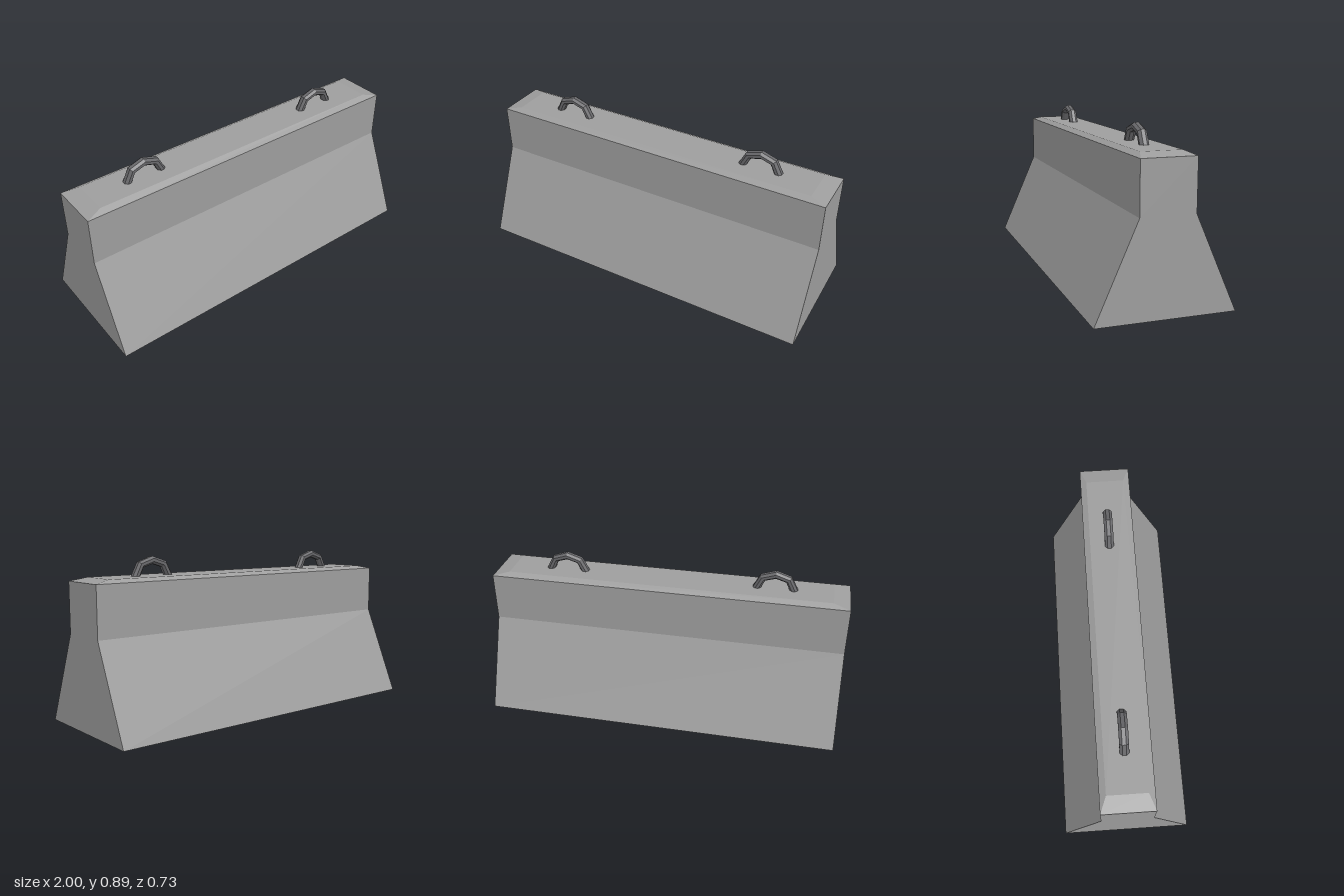
import * as THREE from 'three';

// Skins closed rings of points (counter-clockwise about the path) and caps both ends.
function loft(rings) {
  const n = rings[0].length, last = rings.length - 1, index = [];
  for (let i = 0; i < last; i++) {
    for (let j = 0; j < n; j++) {
      const a = i * n + j, b = i * n + (j + 1) % n;
      index.push(a, b, b + n, a, b + n, a + n);
    }
  }
  for (let j = 1; j < n - 1; j++) {
    index.push(0, j + 1, j, last * n, last * n + j, last * n + j + 1);
  }
  const geo = new THREE.BufferGeometry();
  geo.setAttribute('position', new THREE.Float32BufferAttribute(rings.flat(2), 3));
  geo.setIndex(index);
  const flat = geo.toNonIndexed();
  flat.computeVertexNormals();
  return flat;
}

export function createModel() {
  const group = new THREE.Group();
  const concrete = new THREE.MeshStandardMaterial({ color: 0x9d9d9d, flatShading: true });
  const steel = new THREE.MeshStandardMaterial({ color: 0x68686b, flatShading: true });

  // Barrier: sloped foot, upright wall and chamfered top, as [y, half length, half depth]
  const levels = [[0, 1, 0.363], [0.5, 1, 0.143], [0.772, 1, 0.143], [0.79, 0.91, 0.108]];
  const body = new THREE.Mesh(loft(levels.map(([y, x, z]) =>
    [[x, y, z], [x, y, -z], [-x, y, -z], [-x, y, z]])), concrete);
  body.name = 'barrierBody';
  group.add(body);

  // Lifting loops: a bent bar with an eight-sided section
  const path = [[-0.11, 0.77], [-0.071, 0.849], [0, 0.872], [0.071, 0.849], [0.11, 0.77]]
    .map(([x, y]) => new THREE.Vector2(x, y));
  const rings = path.map((p, i) => {
    const t = path[Math.min(i + 1, 4)].clone().sub(path[Math.max(i - 1, 0)]).normalize();
    return Array.from({ length: 8 }, (_, k) => {
      const a = (k + 0.5) * Math.PI / 4;
      const u = 0.022 * Math.cos(a), w = 0.027 * Math.sin(a);
      return [p.x - t.y * u, p.y + t.x * u, w];
    });
  });
  const loopGeometry = loft(rings);
  for (const [name, x] of [['leftLiftingLoop', 0.592], ['rightLiftingLoop', -0.592]]) {
    const loop = new THREE.Mesh(loopGeometry, steel);
    loop.name = name;
    loop.position.x = x;
    group.add(loop);
  }
  return group;
}
